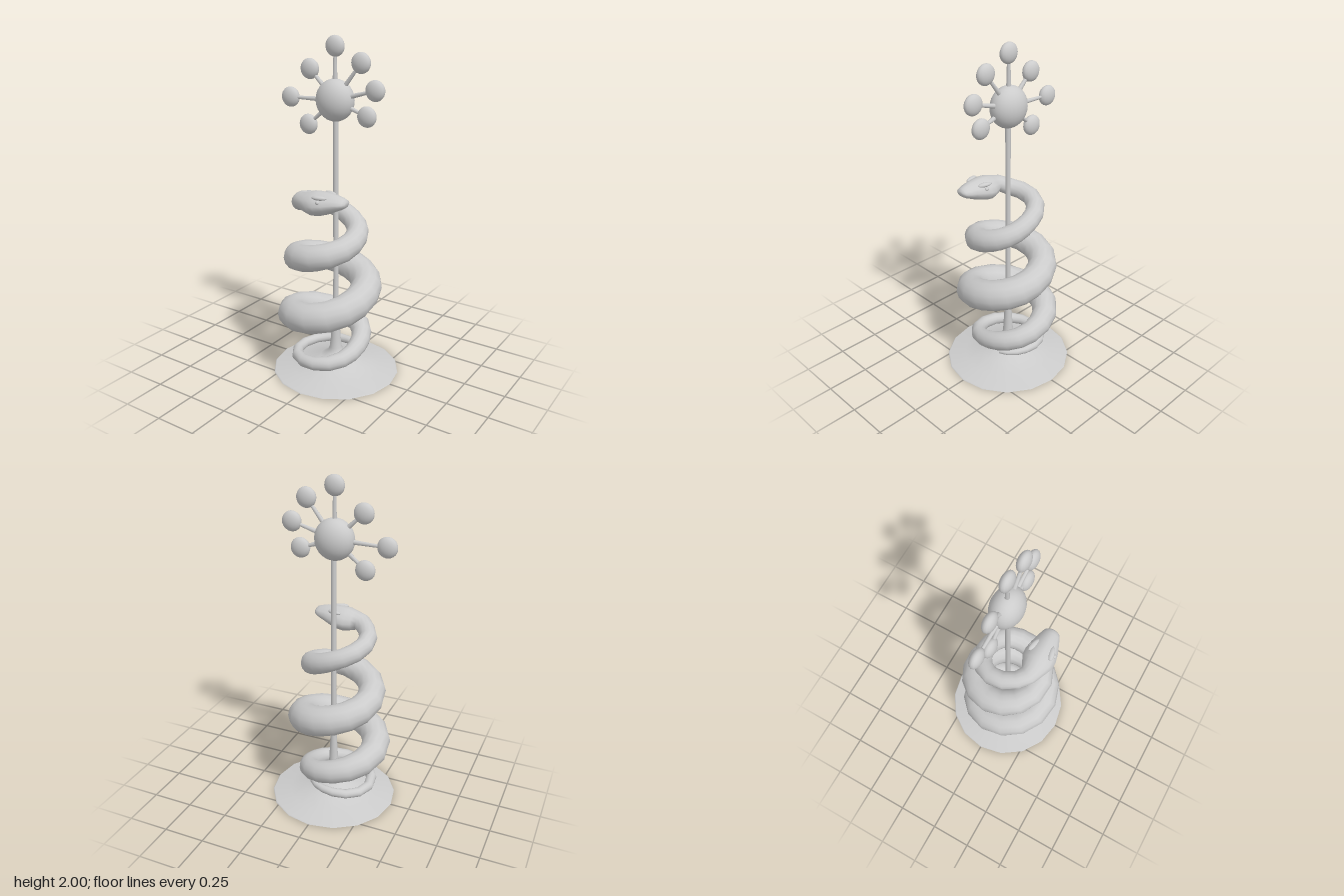
import * as THREE from 'three';

const V = (x, y, z) => new THREE.Vector3(x, y, z);
const material = new THREE.MeshStandardMaterial({ color: 0xcccccc });

function add(parent, name, geometry) {
  const mesh = new THREE.Mesh(geometry, material);
  mesh.name = name;
  parent.add(mesh);
  return mesh;
}

function ball(parent, name, [x, y, z], [rx, ry, rz], segments = 20) {
  const mesh = add(parent, name, new THREE.SphereGeometry(1, segments, 14));
  mesh.position.set(x, y, z);
  mesh.scale.set(rx, ry, rz);
  return mesh;
}

// Skin a row of oval rings { p, w, h, flat }; flat narrows the crown for the head
function loft(rings, sides = 14) {
  const pos = [], index = [], up = V(0, 1, 0);
  rings.forEach(({ p, w, h, flat = 0 }, i) => {
    const before = rings[Math.max(i - 1, 0)].p;
    const after = rings[Math.min(i + 1, rings.length - 1)].p;
    const t = after.clone().sub(before).normalize();
    const s = t.clone().cross(up).normalize();
    const u = s.clone().cross(t);
    for (let j = 0; j < sides; j++) {
      const a = j / sides * Math.PI * 2;
      const across = Math.cos(a) * w * (1 - flat * Math.max(0, Math.sin(a)));
      const q = p.clone().addScaledVector(s, across).addScaledVector(u, Math.sin(a) * h);
      pos.push(q.x, q.y, q.z);
      if (i < rings.length - 1) {
        const k = (j + 1) % sides, A = i * sides, B = A + sides;
        index.push(A + j, B + j, A + k, B + j, B + k, A + k);
      }
    }
  });
  // End caps
  const last = (rings.length - 1) * sides, c0 = pos.length / 3;
  for (const r of [rings[0], rings[rings.length - 1]]) pos.push(r.p.x, r.p.y, r.p.z);
  for (let j = 0; j < sides; j++) {
    const k = (j + 1) % sides;
    index.push(c0, j, k, c0 + 1, last + k, last + j);
  }
  const g = new THREE.BufferGeometry();
  g.setAttribute('position', new THREE.Float32BufferAttribute(pos, 3));
  g.setIndex(index);
  g.computeVertexNormals();
  return g;
}

function buildStand(model) {
  // Shallow cone base flaring up into the slim pole
  const profile = [[0.376, 0], [0.37, 0.006], [0.27, 0.022], [0.17, 0.05], [0.09, 0.085], [0.05, 0.105],
    [0.037, 0.14], [0.03, 0.2], [0.025, 0.28], [0.018, 0.42], [0.015, 0.6], [0.015, 1.58]];
  const stand = add(model, 'baseAndPole',
    new THREE.LatheGeometry(profile.map(([r, y]) => new THREE.Vector2(r, y)), 16));
  stand.scale.x = 1.02;
  const underside = add(model, 'baseUnderside', new THREE.CircleGeometry(0.376, 16));
  underside.rotation.x = Math.PI / 2;
  underside.scale.x = 1.02;
}

function buildTop(model) {
  const top = new THREE.Group();
  top.name = 'radiantTop';
  model.add(top);
  const centre = V(-0.005, 1.65, 0);
  ball(top, 'centreBall', centre.toArray(), [0.115, 0.118, 0.09], 24);
  // Small balls on tapering spokes
  const tips = [[-0.005, 1.942], [0.16, 1.862], [0.25, 1.722], [0.2, 1.578],
    [-0.185, 1.498], [-0.308, 1.642], [-0.173, 1.81]];
  for (const [x, y] of tips) {
    const d = V(x, y, 0).sub(centre), length = d.length() - 0.09;
    d.normalize();
    const spoke = add(top, 'spoke', new THREE.CylinderGeometry(0.008, 0.014, length, 8, 1, true));
    spoke.quaternion.setFromUnitVectors(V(0, 1, 0), d);
    spoke.position.copy(centre).addScaledVector(d, 0.09 + length / 2);
    ball(top, 'smallBall', [x, y, 0], [0.058, 0.058, 0.034], 16);
  }
}

function buildSnake(model) {
  const snake = new THREE.Group();
  snake.name = 'snake';
  model.add(snake);
  // One entry per quarter turn: coil radius, height, body thickness
  const quarters = [[0.13, 0.1, 0.006], [0.155, 0.11, 0.024], [0.232, 0.095, 0.03], [0.22, 0.12, 0.04],
    [0.15, 0.18, 0.055], [0.19, 0.26, 0.066], [0.255, 0.35, 0.083], [0.255, 0.43, 0.09],
    [0.19, 0.53, 0.092], [0.185, 0.61, 0.09], [0.225, 0.7, 0.082], [0.22, 0.79, 0.075],
    [0.14, 0.88, 0.066], [0.12, 0.96, 0.058], [0.188, 1.05, 0.053], [0.215, 1.11, 0.05]];
  const curve = new THREE.CatmullRomCurve3(quarters.map(q => V(...q)), false, 'catmullrom', 0.5);
  const rings = [];
  for (let k = -1.75; k <= 12.5; k += 0.25) {
    const { x: R, y, z: r } = curve.getPoint((k + 2) / (quarters.length - 1));
    const a = k * Math.PI / 2;
    rings.push({ p: V(-R * Math.cos(a), y, R * Math.sin(a)), w: r, h: r });
  }
  // Head sections: x, y, z, half width, half height
  const head = [[-0.1, 1.105, 0.183, 0.057, 0.047], [-0.055, 1.106, 0.19, 0.072, 0.058],
    [-0.01, 1.108, 0.191, 0.092, 0.07], [0.03, 1.114, 0.191, 0.095, 0.069],
    [0.08, 1.122, 0.19, 0.084, 0.06], [0.125, 1.13, 0.188, 0.068, 0.048],
    [0.165, 1.133, 0.187, 0.053, 0.034], [0.184, 1.135, 0.187, 0.042, 0.024],
    [0.193, 1.135, 0.187, 0.024, 0.012]];
  head.forEach(([x, y, z, w, h], i) =>
    rings.push({ p: V(x, y, z), w, h, flat: Math.min(0.3, i * 0.1) }));
  add(snake, 'bodyAndHead', loft(rings));
  // Eyes under brow ridges
  for (const side of [-1, 1]) {
    ball(snake, 'eye', [0.055, 1.138, 0.191 + side * 0.074], [0.013, 0.012, 0.011], 10);
    const brow = ball(snake, 'brow', [0.055, 1.16, 0.191 + side * 0.056], [0.045, 0.013, 0.017], 10);
    brow.rotation.y = side * 0.25;
  }
}

export function createModel() {
  const model = new THREE.Group();
  model.name = 'snakeStaff';
  buildStand(model);
  buildTop(model);
  buildSnake(model);
  return model;
}
